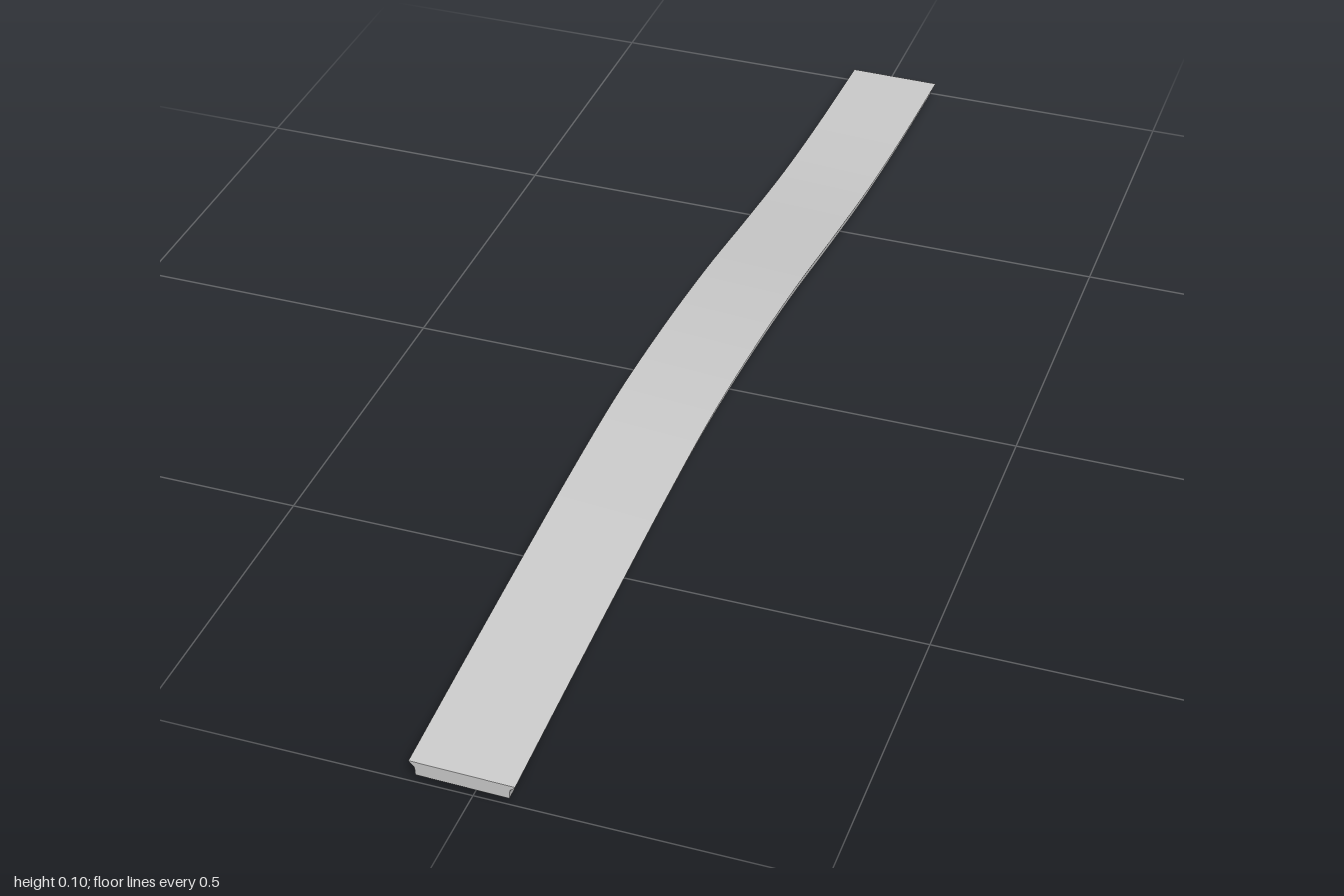
import * as THREE from 'three';
import { toCreasedNormals } from 'three/addons/utils/BufferGeometryUtils.js';

// Centre line of the top surface, evenly spaced from front (z = 1) to back (z = -1)
const heights = [0.034, 0.052, 0.07, 0.087, 0.098, 0.096, 0.082, 0.058, 0.037, 0.027, 0.023];
const drift = [-0.0155, -0.0145, -0.013, -0.011, -0.0085, -0.004, 0, 0.004, 0.008, 0.012, 0.0155];

// Half of the cross-section: overhanging lip, hollow fillet, upright side
const half = [[0.078, 0], [0.0765, -0.003], [0.073, -0.0055], [0.0705, -0.008], [0.0695, -0.012], [0.069, -0.023]];

export function createModel() {
  const group = new THREE.Group();
  group.name = 'curvedStrip';

  const path = new THREE.CatmullRomCurve3(
    heights.map((y, i) => new THREE.Vector3(drift[i], y, 1 - 0.2 * i)), false, 'catmullrom', 0.5);

  const outline = [...half, ...half.map(([x, y]) => [-x, y]).reverse()];
  const section = new THREE.Shape(outline.map(([x, y]) => new THREE.Vector2(x, y)));
  let geometry = new THREE.ExtrudeGeometry(section, { depth: 2, steps: 60, bevelEnabled: false });
  geometry.translate(0, 0, -1);

  // Bend the straight bar along the path, keeping its ends square to the path
  const pos = geometry.attributes.position;
  const p = new THREE.Vector3();
  for (let i = 0; i < pos.count; i++) {
    const x = pos.getX(i), y = pos.getY(i), z = pos.getZ(i);
    path.getPoint(THREE.MathUtils.clamp((1 - z) / 2, 0, 1), p);
    pos.setXYZ(i, p.x + x, p.y + y, z * 0.999 + x * 0.0155);
  }
  geometry.deleteAttribute('uv');
  geometry = toCreasedNormals(geometry, 0.7);

  const strip = new THREE.Mesh(geometry, new THREE.MeshStandardMaterial({ color: 0xcccccc }));
  strip.name = 'strip';
  group.add(strip);
  return group;
}
